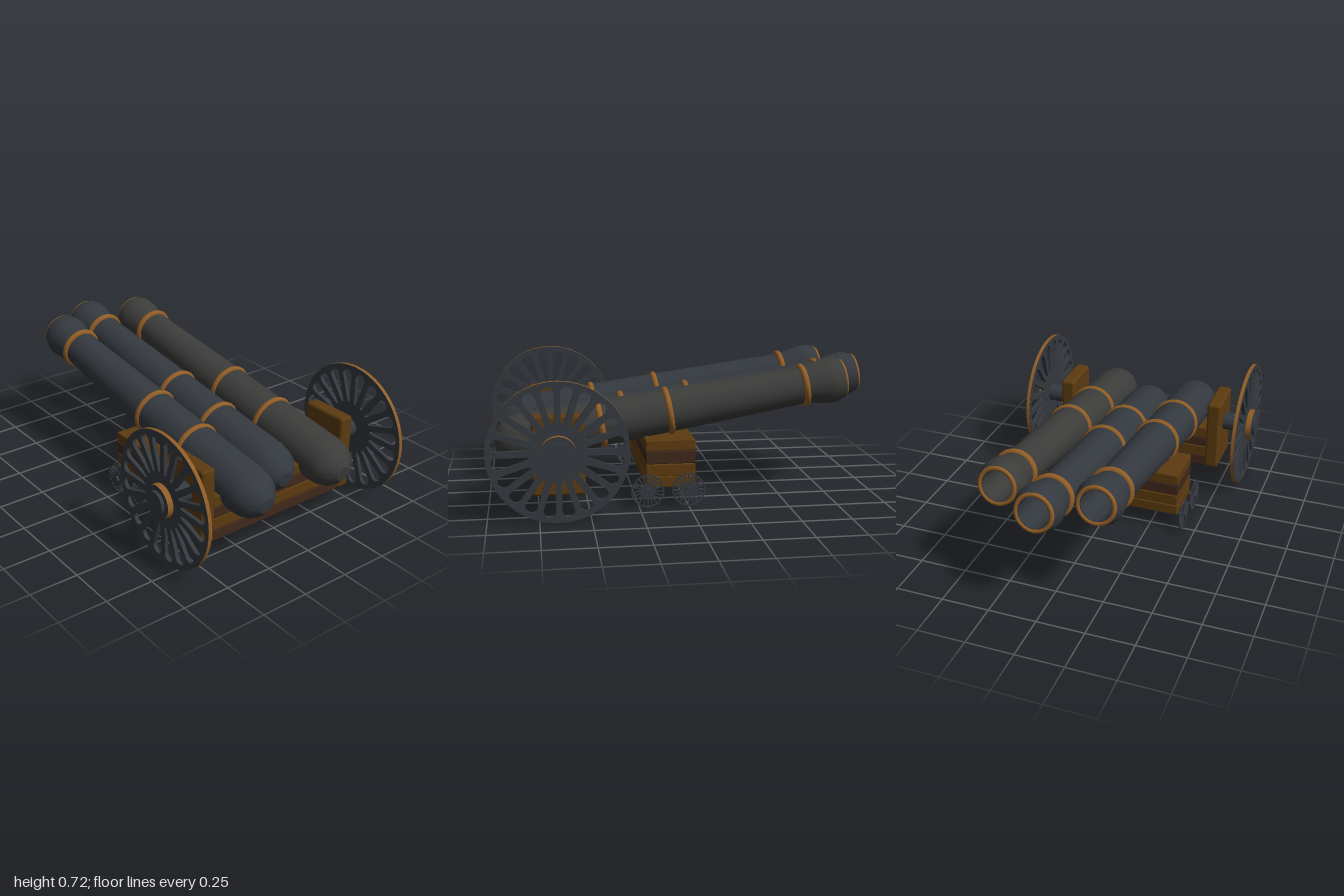
import * as THREE from 'three';
import { toCreasedNormals } from 'three/addons/utils/BufferGeometryUtils.js';
import { RoundedBoxGeometry } from 'three/addons/geometries/RoundedBoxGeometry.js';

const paint = (color) => new THREE.MeshStandardMaterial({ color });
const iron = paint(0x34393f), greyIron = paint(0x3c3c3b), bronze = paint(0x8f5c26);
const wood = paint(0x5c3b10), darkWood = paint(0x3f271a);

function add(parent, name, geometry, material, x = 0, y = 0, z = 0) {
  const mesh = new THREE.Mesh(geometry, material);
  mesh.name = name;
  mesh.position.set(x, y, z);
  parent.add(mesh);
  return mesh;
}

// Cylinder lying along x between x0 and x1
function rod(parent, name, r, x0, x1, y, z, material) {
  const geometry = new THREE.CylinderGeometry(r, r, Math.abs(x1 - x0), 32).rotateZ(Math.PI / 2);
  return add(parent, name, geometry, material, (x0 + x1) / 2, y, z);
}

// Flat disc in the plane x = 0, pierced by 20 teardrop windows
function spokedDisc(r, thickness) {
  const shape = new THREE.Shape().absarc(0, 0, r, 0, Math.PI * 2);
  const count = 20;
  for (let i = 0; i < count; i++) {
    const a = ((i + 0.5) / count) * Math.PI * 2;
    const at = (u, v) => [
      r * (u * Math.cos(a) - v * Math.sin(a)),
      r * (u * Math.sin(a) + v * Math.cos(a)),
    ];
    const hole = new THREE.Path();
    hole.moveTo(...at(0.42, -0.018));
    hole.lineTo(...at(0.83, -0.088));
    hole.bezierCurveTo(...at(0.96, -0.1), ...at(0.96, 0.1), ...at(0.83, 0.088));
    hole.lineTo(...at(0.42, 0.018));
    hole.quadraticCurveTo(...at(0.39, 0), ...at(0.42, -0.018));
    shape.holes.push(hole);
  }
  return new THREE.ExtrudeGeometry(shape, { depth: thickness, bevelEnabled: false, curveSegments: 24 })
    .translate(0, 0, -thickness / 2)
    .rotateY(Math.PI / 2);
}

// Barrel along +y with its breech at the origin
function barrel(name, material) {
  const group = new THREE.Group();
  group.name = name;
  const profile = [
    [0, 0], [0.04, 0.002], [0.075, 0.025], [0.105, 0.06], [0.12, 0.1], [0.126, 0.15],
    [0.117, 0.54], [0.111, 0.89], [0.096, 1.58], [0.098, 1.63], [0.116, 1.72],
    [0.118, 1.765], [0.099, 1.815], [0.076, 1.82], [0.074, 1.3], [0, 1.3],
  ].map(([r, y]) => new THREE.Vector2(r, y));
  add(group, 'tube', toCreasedNormals(new THREE.LatheGeometry(profile, 48), 0.5), material);
  for (const [r, s] of [[0.112, 0.54], [0.107, 0.89], [0.097, 1.605]]) {
    add(group, 'band', new THREE.TorusGeometry(r, 0.0165, 12, 48).rotateX(Math.PI / 2), bronze, 0, s, 0);
  }
  const lip = new THREE.TorusGeometry(0.089, 0.011, 10, 48).rotateX(Math.PI / 2);
  add(group, 'muzzleRing', lip, bronze, 0, 1.815, 0);
  return group;
}

// Stack of planks, each [bottom, top, material]
function planks(parent, name, width, z0, z1, layers) {
  const group = new THREE.Group();
  group.name = name;
  for (const [y0, y1, material] of layers) {
    const geometry = new RoundedBoxGeometry(width, y1 - y0, z1 - z0, 2, 0.005);
    add(group, 'plank', geometry, material, 0, (y0 + y1) / 2, (z0 + z1) / 2);
  }
  parent.add(group);
}

export function createModel() {
  const model = new THREE.Group();
  model.name = 'tripleCannon';

  // Three tilted barrels, the middle one set further back
  for (const [name, x, y, z, material] of [
    ['rightBarrel', -0.247, 0.33, 0.962, iron],
    ['middleBarrel', 0, 0.321, 0.822, iron],
    ['leftBarrel', 0.247, 0.33, 0.962, greyIron],
  ]) {
    const b = barrel(name, material);
    b.position.set(x, y, z);
    b.rotation.x = -THREE.MathUtils.degToRad(80.9);
    model.add(b);
  }

  // Plank bed between the cheeks and plank block under the barrels
  planks(model, 'frontBed', 0.81, 0.53, 0.775, [
    [0.105, 0.164, darkWood], [0.166, 0.226, wood], [0.228, 0.286, darkWood], [0.288, 0.346, wood],
  ]);
  planks(model, 'rearBlock', 0.81, -0.035, 0.215, [
    [0.107, 0.164, wood], [0.166, 0.226, wood], [0.228, 0.293, darkWood], [0.295, 0.35, wood],
  ]);
  rod(model, 'trunnionRod', 0.018, -0.42, 0.42, 0.388, 0.645, iron);

  for (const side of [-1, 1]) {
    const label = side > 0 ? 'left' : 'right';

    // Cheek and big wheel with its hub
    add(model, label + 'Cheek', new RoundedBoxGeometry(0.077, 0.4, 0.26, 3, 0.015), wood, side * 0.441, 0.305, 0.65);
    rod(model, label + 'Axle', 0.05, side * 0.46, side * 0.61, 0.353, 0.652, iron);
    const wheel = new THREE.Group();
    wheel.name = label + 'Wheel';
    wheel.position.set(side * 0.607, 0.353, 0.656);
    model.add(wheel);
    add(wheel, 'spokedDisc', spokedDisc(0.343, 0.02), iron);
    const tyre = new THREE.CylinderGeometry(0.344, 0.344, 0.019, 64, 1, true).rotateZ(Math.PI / 2);
    add(wheel, 'tyre', tyre, bronze);
    rod(wheel, 'hubDisc', 0.086, 0, side * 0.041, 0, 0, [bronze, iron, iron]);
    rod(wheel, 'hubCap', 0.06, 0, side * 0.058, 0, 0, iron);

    // Two small wheels on short axles
    for (const z of [0.21, 0.003]) {
      add(model, label + 'SmallWheel', spokedDisc(0.084, 0.006), iron, side * 0.433, 0.099, z);
      rod(model, 'smallAxle', 0.011, side * 0.39, side * 0.446, 0.099, z, iron);
      rod(model, 'smallHub', 0.017, side * 0.436, side * 0.45, 0.099, z, iron);
    }
  }
  return model;
}
